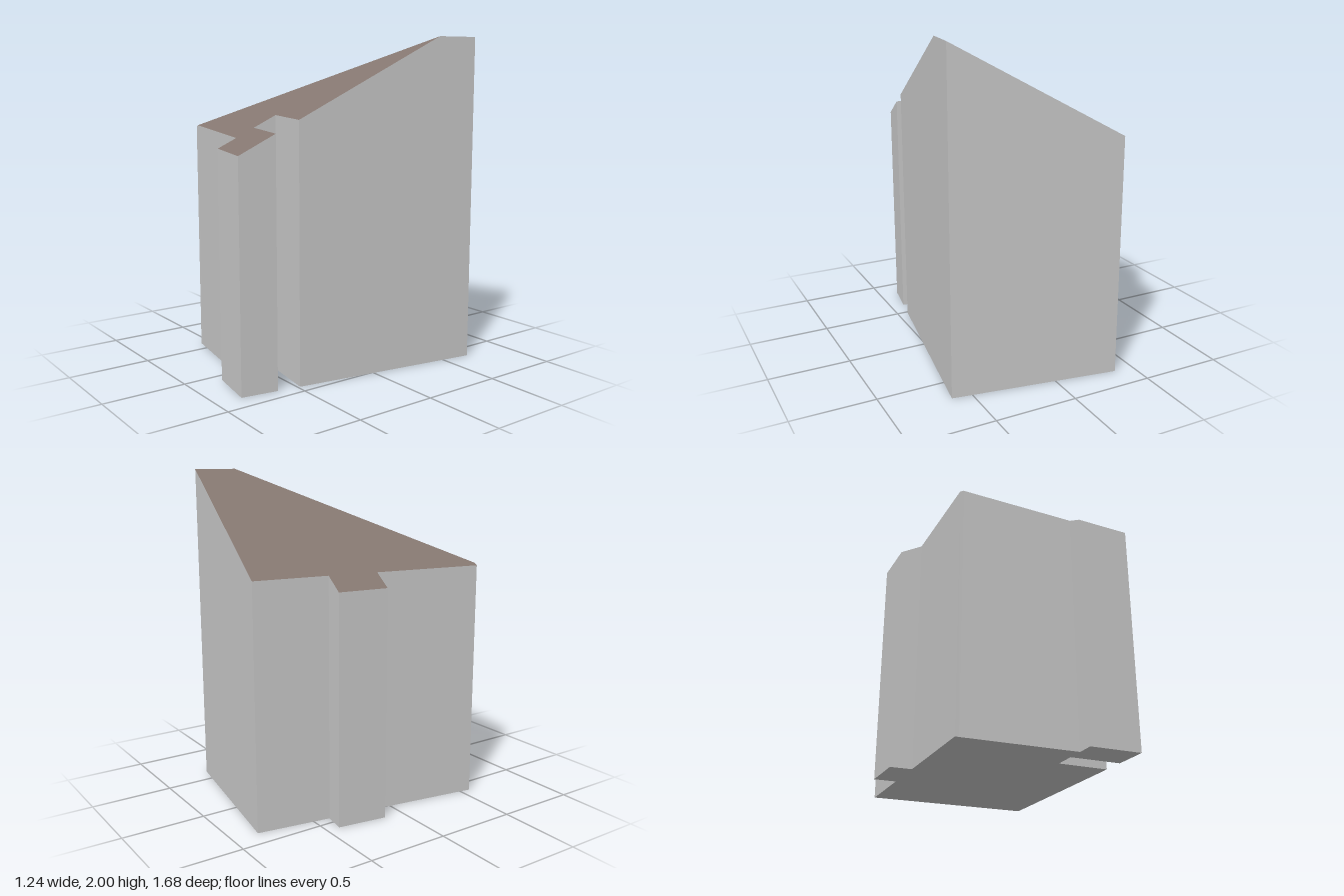
import * as THREE from 'three';

// Footprint corners [x, z]: from the left ridge-end round the back, and round the front
const ridgeHigh = [0.58, -0.43], ridgeLow = [-0.58, 0.568];
const frontEdge = [
  [0.432, 0.485], [0.13, 0.44], [0.108, 0.575], [0.41, 0.623],
  [0.375, 0.842], [0.07, 0.792], [0.09, 0.682],
];
const backEdge = [
  [-0.602, 0.565], [-0.495, -0.102], [-0.622, -0.123], [-0.578, -0.421],
  [-0.447, -0.4], [-0.378, -0.842], [0.62, -0.684],
];
const frontHalf = [ridgeHigh, ...frontEdge, ridgeLow];
const backHalf = [ridgeLow, ...backEdge, ridgeHigh];
const outline = [ridgeHigh, ...frontEdge, ridgeLow, ...backEdge];

// Two roof planes that meet along the diagonal ridge
const roofHeight = (x, z) => Math.min(
  1.763 + 0.0315 * x - 0.5085 * z,
  1.7215 + 0.5434 * x + 0.0853 * z,
);

// Flat horizontal polygon facing up, lifted to a height rule
function slab(points, height) {
  const shape = new THREE.Shape(points.map(([x, z]) => new THREE.Vector2(x, -z)));
  const geometry = new THREE.ShapeGeometry(shape);
  geometry.rotateX(-Math.PI / 2);
  const p = geometry.attributes.position;
  for (let i = 0; i < p.count; i++) p.setY(i, height(p.getX(i), p.getZ(i)));
  geometry.computeVertexNormals();
  return geometry;
}

// Vertical quads from the ground up to the sloping eaves
function wallRing(points) {
  const v = [];
  points.forEach(([ax, az], i) => {
    const [bx, bz] = points[(i + 1) % points.length];
    const a0 = [ax, 0, az], a1 = [ax, roofHeight(ax, az), az];
    const b0 = [bx, 0, bz], b1 = [bx, roofHeight(bx, bz), bz];
    v.push(...a0, ...a1, ...b1, ...a0, ...b1, ...b0);
  });
  const geometry = new THREE.BufferGeometry();
  geometry.setAttribute('position', new THREE.Float32BufferAttribute(v, 3));
  geometry.computeVertexNormals();
  return geometry;
}

export function createModel() {
  const group = new THREE.Group();
  group.name = 'building';
  const wallGrey = new THREE.MeshStandardMaterial({ color: 0xc8c8c8 });
  wallGrey.name = 'wallGrey';
  const roofBrown = new THREE.MeshStandardMaterial({ color: 0x857770 });
  roofBrown.name = 'roofBrown';

  const add = (name, geometry, material) => {
    const mesh = new THREE.Mesh(geometry, material);
    mesh.name = name;
    group.add(mesh);
    return mesh;
  };

  // The outline runs front-first, clockwise seen from above, so reverse-free quads face out
  add('walls', wallRing(outline), wallGrey);
  add('frontRoof', slab(frontHalf, roofHeight), roofBrown);
  add('backRoof', slab(backHalf, roofHeight), roofBrown);

  // Underside, mirrored in z and then turned over so that it faces down
  const floor = slab(outline.map(([x, z]) => [x, -z]), () => 0);
  floor.rotateX(Math.PI);
  add('floor', floor, wallGrey);

  return group;
}
